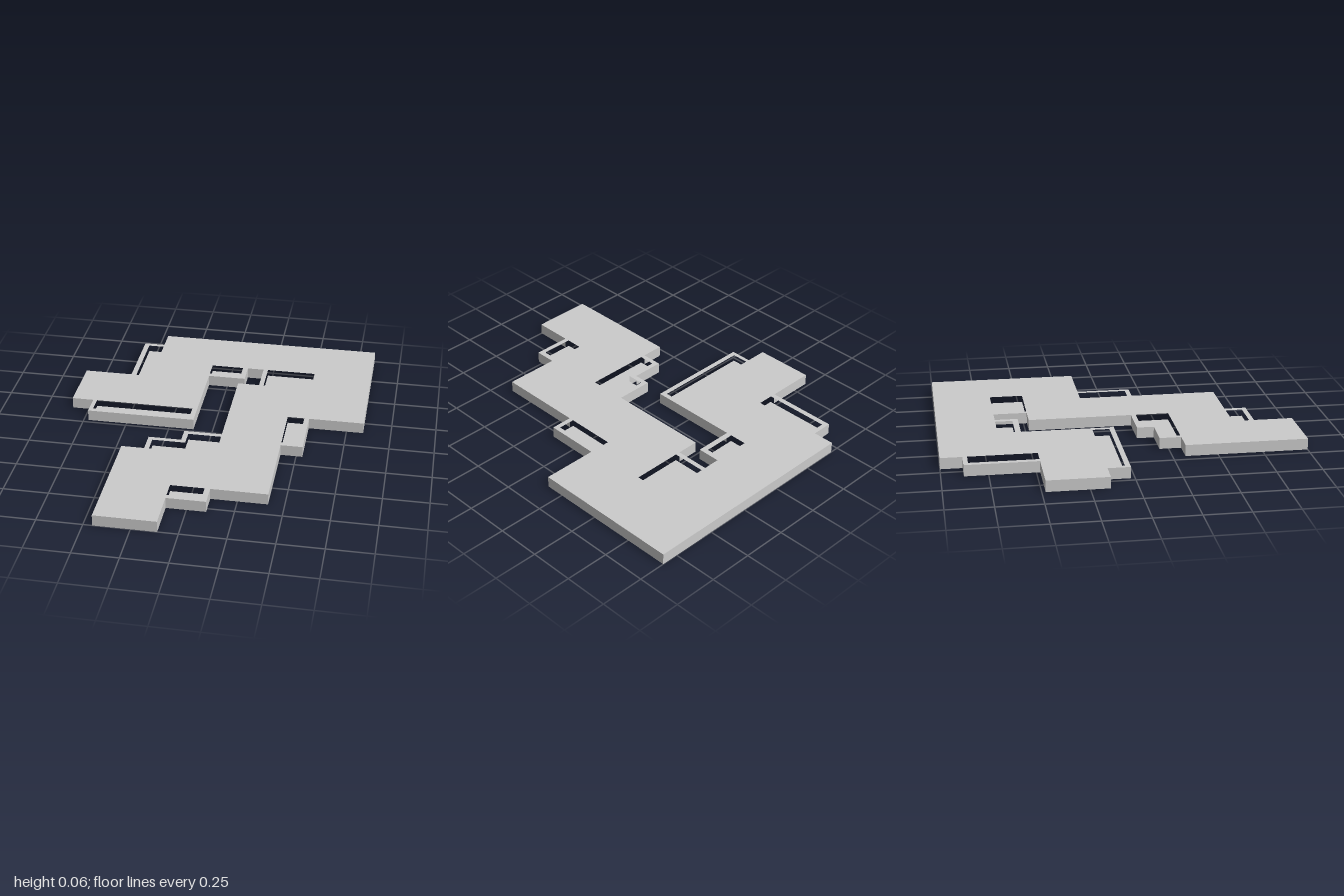
import * as THREE from 'three';

const HEIGHT = 0.063;
const FLOOR = 0.025;

// Plan points are [x, z]; the extrusion is laid flat so it rises along +y.
const toVectors = (pts) => pts.map(([x, z]) => new THREE.Vector2(x, -z));
const rect = (x0, z0, x1, z1) => [[x0, z0], [x1, z0], [x1, z1], [x0, z1]];

function slab(shape, depth) {
  const geometry = new THREE.ExtrudeGeometry(shape, { depth, bevelEnabled: false });
  return geometry.rotateX(-Math.PI / 2);
}

// Stepped outer edge of the plate
const outline = [
  [-0.45, -1], [0.845, -1], [0.845, -0.145], [0.535, -0.145], [0.535, 0.163],
  [0.413, 0.163], [0.413, 0.657], [0.105, 0.657], [0.105, 0.78], [-0.11, 0.78],
  [-0.11, 1], [-0.45, 1], [-0.45, 0.32], [-0.322, 0.32], [-0.322, 0.2],
  [-0.138, 0.2], [-0.138, 0.105], [0.075, 0.105], [0.075, -0.48], [0.2, -0.48],
  [0.2, -0.67], [0.105, -0.67], [0.105, -0.54], [-0.11, -0.54], [-0.11, -0.022],
  [-0.723, -0.022], [-0.723, -0.145], [-0.845, -0.145], [-0.845, -0.48],
  [-0.57, -0.48], [-0.57, -0.88], [-0.45, -0.88],
];

// Sunken pockets
const pockets = {
  backRightPocket: rect(-0.54, -0.855, -0.45, -0.48),
  longRightPocket: rect(-0.7, -0.145, -0.138, -0.05),
  innerPocket: rect(-0.11, -0.67, 0.075, -0.572),
  widePocket: rect(0.227, -0.67, 0.508, -0.48),
  leftPocket: rect(0.413, -0.145, 0.508, 0.136),
  steppedPocket: [
    [-0.295, 0.227], [-0.11, 0.227], [-0.11, 0.132],
    [0.075, 0.132], [0.075, 0.32], [-0.295, 0.32],
  ],
  frontPocket: rect(-0.11, 0.657, 0.075, 0.752),
};

export function createModel() {
  const model = new THREE.Group();
  const material = new THREE.MeshStandardMaterial({ color: 0xcccccc, flatShading: true });

  const add = (name, geometry) => {
    const mesh = new THREE.Mesh(geometry, material);
    mesh.name = name;
    model.add(mesh);
  };

  // Plate with pocket openings
  const plate = new THREE.Shape(toVectors(outline));
  for (const pts of Object.values(pockets)) plate.holes.push(new THREE.Path(toVectors(pts)));
  add('plate', slab(plate, HEIGHT));

  // Floors closing the pockets from below
  for (const [name, pts] of Object.entries(pockets)) {
    add(name + 'Floor', slab(new THREE.Shape(toVectors(pts)), FLOOR));
  }
  return model;
}
